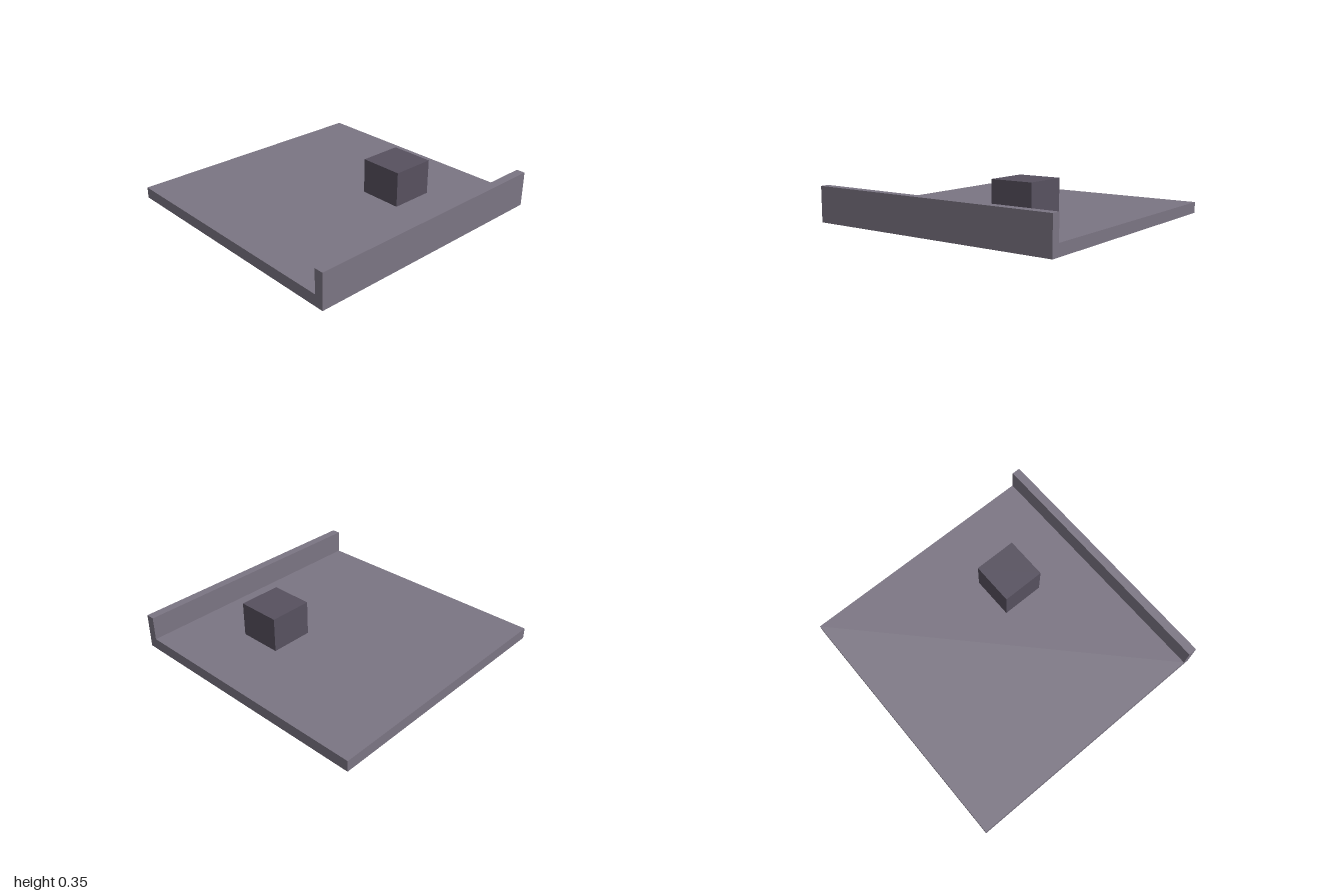
import * as THREE from 'three';

const FLOOR = 0.085, WALL_TOP = 0.267, WALL_BACK = 0.933;

export function createModel() {
  const model = new THREE.Group();
  const paleStone = new THREE.MeshStandardMaterial({ color: 0x7b7583 });
  paleStone.name = 'paleStone';
  const darkStone = new THREE.MeshStandardMaterial({ color: 0x57515f });
  darkStone.name = 'darkStone';

  // Floor slab and front wall: one L-shaped side profile (z, y) swept across x
  const profile = new THREE.Shape([
    [-1, 0], [1, 0], [1, WALL_TOP], [WALL_BACK, WALL_TOP], [WALL_BACK, FLOOR], [-1, FLOOR],
  ].map(([z, y]) => new THREE.Vector2(z, y)));
  const slabGeometry = new THREE.ExtrudeGeometry(profile, { depth: 2, bevelEnabled: false });
  slabGeometry.rotateY(-Math.PI / 2).translate(1, 0, 0);
  const slab = new THREE.Mesh(slabGeometry, paleStone);
  slab.name = 'floorAndFrontWall';
  model.add(slab);

  // Block standing on the floor
  const width = 0.333, height = 0.267;
  const block = new THREE.Mesh(new THREE.BoxGeometry(width, height, width), darkStone);
  block.name = 'block';
  block.position.set(0.333, FLOOR + height / 2, 0.333);
  model.add(block);

  return model;
}
